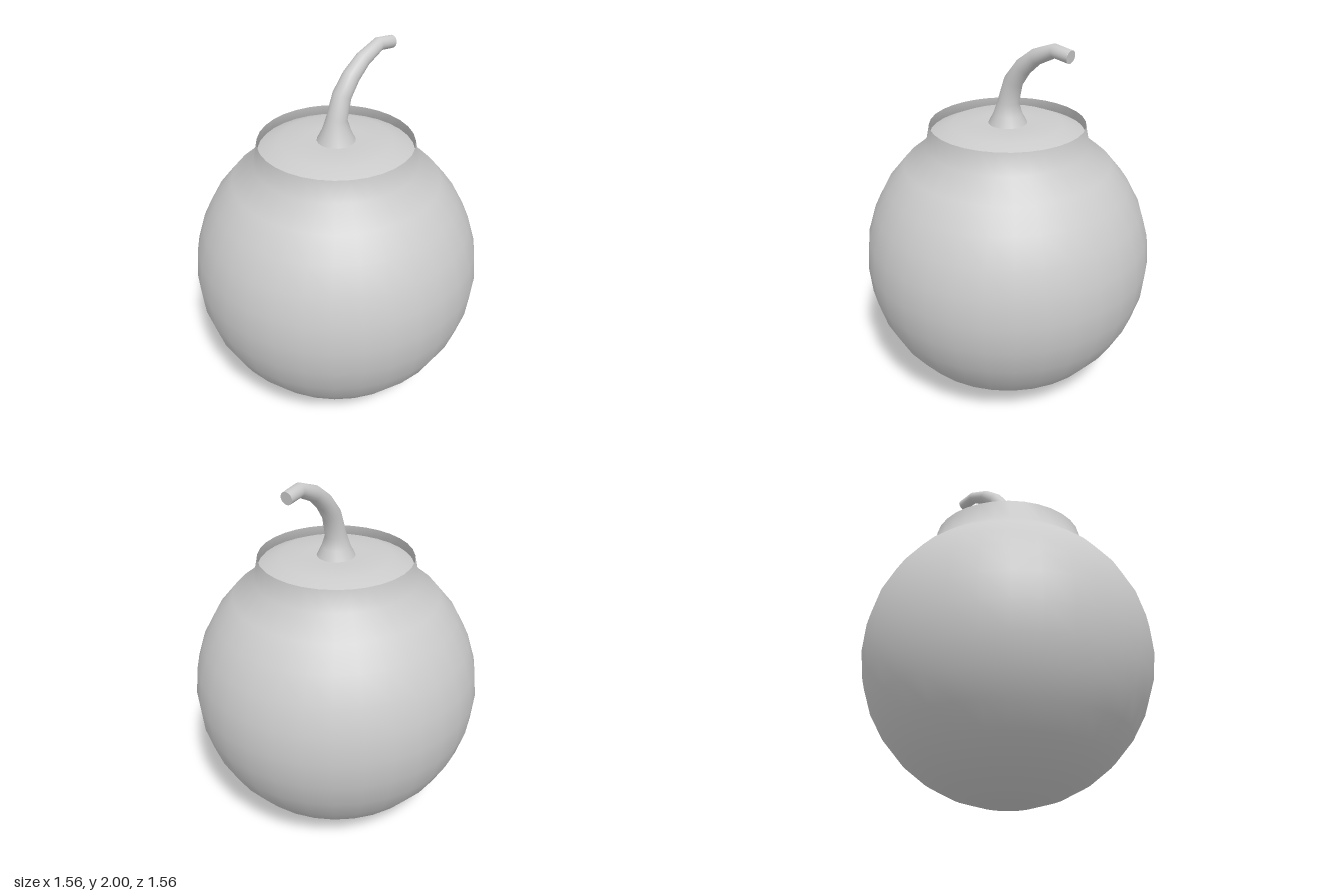
import * as THREE from 'three';

const SIDES = 32;

// Smooth tapered tube along a path in the xy plane; sections are [x, y, radius].
function taperedTube(sections, sides) {
  const positions = [], indices = [];
  const tangent = (i) => {
    const a = sections[Math.max(i - 1, 0)], b = sections[Math.min(i + 1, sections.length - 1)];
    return i === 0 ? new THREE.Vector2(0, 1) : new THREE.Vector2(b[0] - a[0], b[1] - a[1]).normalize();
  };
  sections.forEach(([x, y, r], i) => {
    const t = tangent(i);
    for (let j = 0; j < sides; j++) {
      const a = (j / sides) * Math.PI * 2;
      positions.push(x - t.y * r * Math.cos(a), y + t.x * r * Math.cos(a), r * Math.sin(a));
      if (i === sections.length - 1) continue;
      const p = i * sides + j, q = i * sides + ((j + 1) % sides);
      indices.push(p, q, p + sides, q, q + sides, p + sides);
    }
  });
  const geometry = new THREE.BufferGeometry();
  geometry.setAttribute('position', new THREE.Float32BufferAttribute(positions, 3));
  geometry.setIndex(indices);
  geometry.computeVertexNormals();
  return { geometry, endTangent: tangent(sections.length - 1) };
}

export function createModel() {
  const group = new THREE.Group();
  const grey = new THREE.MeshStandardMaterial({ color: 0xcccccc });
  const openGrey = new THREE.MeshStandardMaterial({ color: 0xcccccc, side: THREE.DoubleSide });
  const add = (name, geometry, material = grey) => {
    const mesh = new THREE.Mesh(geometry, material);
    mesh.name = name;
    group.add(mesh);
    return mesh;
  };

  // Round body from the flat foot up to the open rim of the neck
  const profile = [];
  for (let k = 1; k <= 13; k++) {
    const a = (k * Math.PI) / 16;
    profile.push(new THREE.Vector2(0.78 * Math.sin(a), 0.765 - 0.78 * Math.cos(a)));
  }
  profile.push(new THREE.Vector2(0.41, 1.53));
  add('body', new THREE.LatheGeometry(profile, SIDES), openGrey);

  // Gently domed lid set inside the neck
  const lid = [[0.409, 1.478], [0.29, 1.53], [0.15, 1.532], [0, 1.532]];
  add('lid', new THREE.LatheGeometry(lid.map(([r, y]) => new THREE.Vector2(r, y)), SIDES));

  // Flat foot
  add('foot', new THREE.CircleGeometry(profile[0].x, SIDES).rotateX(Math.PI / 2));

  // Curved fuse with a flared base
  const path = [
    [0, 1.53, 0.102], [0.002, 1.585, 0.075], [0.005, 1.65, 0.055], [0.04, 1.765, 0.05],
    [0.105, 1.85, 0.046], [0.185, 1.915, 0.041], [0.3, 1.965, 0.035], [0.397, 1.952, 0.033],
  ];
  const { geometry, endTangent } = taperedTube(path, 20);
  add('fuse', geometry);

  // Flat end of the fuse
  const [x, y, r] = path[path.length - 1];
  const tip = add('fuseTip', new THREE.CircleGeometry(r, 20));
  tip.position.set(x, y, 0);
  tip.quaternion.setFromUnitVectors(
    new THREE.Vector3(0, 0, 1), new THREE.Vector3(endTangent.x, endTangent.y, 0));

  return group;
}
